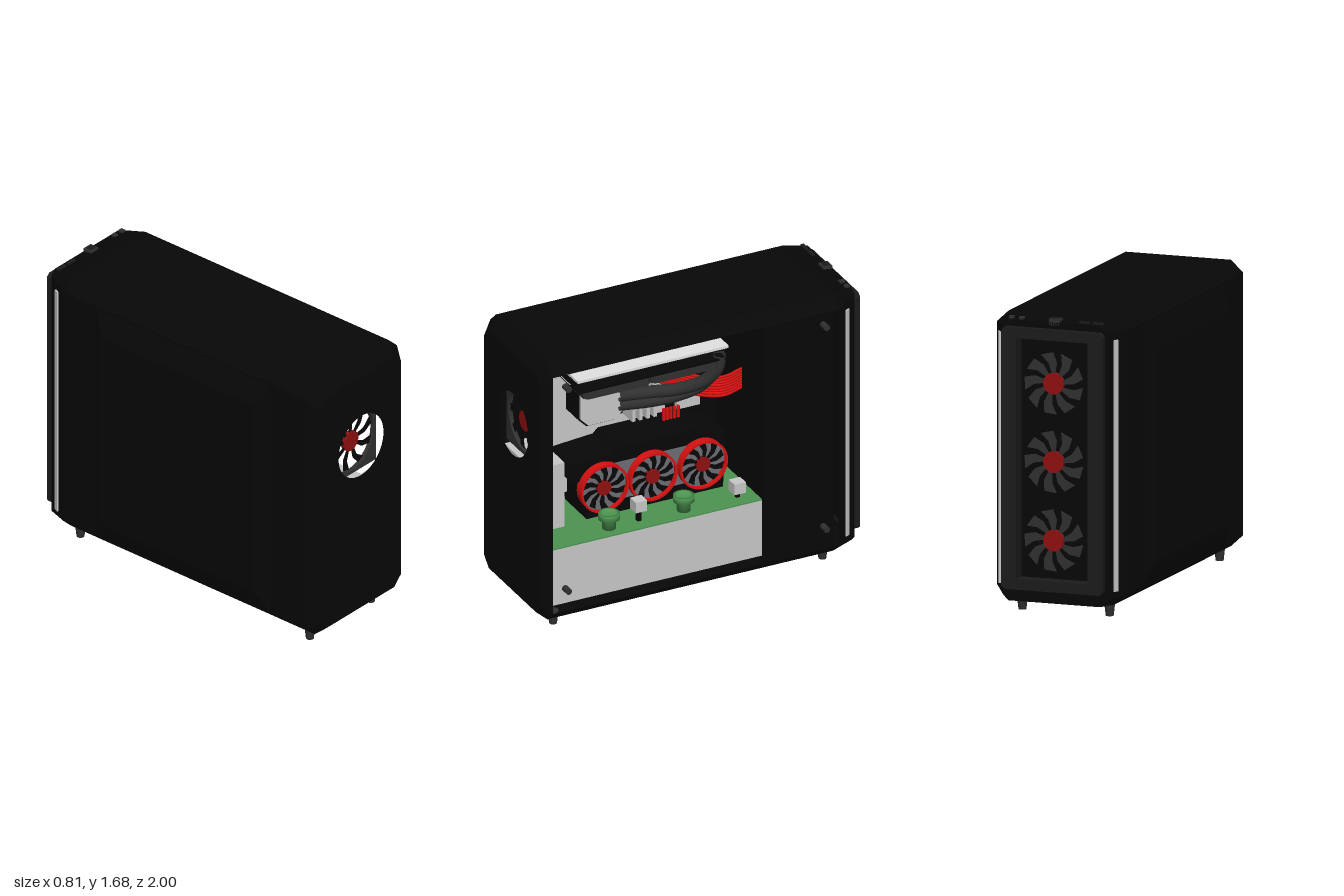
import * as THREE from 'three';

const mat = (name, color, extra = {}) => new THREE.MeshStandardMaterial({ name, color, ...extra });
const D = { side: THREE.DoubleSide };
const black = mat('black', 0x070707, D);
const darkGrey = mat('darkGrey', 0x1b1b1b, D);
const charcoal = mat('charcoal', 0x303030, D);
const grey = mat('grey', 0x6c6c74);
const silver = mat('silver', 0xc8c8c8);
const white = mat('white', 0xe2e2e2);
const red = mat('red', 0xd81010, D);
const darkRed = mat('darkRed', 0x901010);
const green = mat('green', 0x4c9450);

export function createModel() {
  const root = new THREE.Group();
  const add = (name, geo, m, parent = root) => {
    const mesh = new THREE.Mesh(geo, m);
    mesh.name = name;
    parent.add(mesh);
    return mesh;
  };
  // box given by its limits on each axis
  const box = (name, m, x0, x1, y0, y1, z0, z1) => {
    const b = add(name, new THREE.BoxGeometry(x1 - x0, y1 - y0, z1 - z0), m);
    b.position.set((x0 + x1) / 2, (y0 + y1) / 2, (z0 + z1) / 2);
  };
  const shapeOf = (pts) => new THREE.Shape(pts.map(([x, y]) => new THREE.Vector2(x, y)));
  const rect = (x0, x1, y0, y1) => [[x0, y0], [x1, y0], [x1, y1], [x0, y1]];
  const octagon = (x0, x1, y0, y1, c, d = c) => [
    [x0 + c, y0], [x1 - c, y0], [x1, y0 + d], [x1, y1 - d],
    [x1 - c, y1], [x0 + c, y1], [x0, y1 - d], [x0, y0 + d]];
  // (z, y) outline extruded along x
  const sidePlate = (name, m, pts, x0, x1) => {
    const g = new THREE.ExtrudeGeometry(shapeOf(pts.map(([z, y]) => [-z, y])), { depth: x1 - x0, bevelEnabled: false });
    add(name, g.rotateY(Math.PI / 2).translate(x0, 0, 0), m);
  };
  // plate in the xy plane with one round or polygonal hole
  const holedPlate = (pts, hole, depth) => {
    const s = shapeOf(pts);
    s.holes.push(hole);
    return depth ? new THREE.ExtrudeGeometry(s, { depth, bevelEnabled: false, curveSegments: 24 }) : new THREE.ShapeGeometry(s, 32);
  };
  const circle = (x, y, r) => new THREE.Path().absarc(x, y, r, 0, Math.PI * 2, true);
  // bladed rotor in the xy plane, facing +z; w is the blade width as an angle
  const fan = (name, r, hubR, n, w, bladeMat, hubMat) => {
    const g = new THREE.Group();
    g.name = name;
    const p = (rad, a) => [rad * Math.cos(a), rad * Math.sin(a)];
    const blade = shapeOf([p(hubR * 0.9, 0), p(r * 0.65, 0.02), p(r * 0.97, 0.2), p(r * 0.97, 0.2 + w), p(r * 0.65, 0.02 + w), p(hubR * 0.9, 0.35)]);
    const bg = new THREE.ExtrudeGeometry(blade, { depth: 0.005, bevelEnabled: false });
    for (let i = 0; i < n; i++) add('blade', bg, bladeMat, g).rotation.z = (i / n) * Math.PI * 2;
    add('hub', new THREE.CylinderGeometry(hubR, hubR, 0.024, 24).rotateX(Math.PI / 2), hubMat, g);
    root.add(g);
    return g;
  };

  // Case shell: octagonal sections, window side left open
  const body = octagon(-0.36, 0.403, 0.07, 1.675, 0.07, 0.065);
  const rear = octagon(-0.32, 0.37, 0.12, 1.6, 0.06);
  const nose = octagon(-0.29, 0.31, 0.08, 1.655, 0.03);
  const sections = [[1, rear], [0.94, body], [-0.82, body], [-0.965, nose]];
  const pos = [];
  for (let s = 0; s < sections.length - 1; s++) {
    const [za, A] = sections[s], [zb, B] = sections[s + 1];
    for (let i = 0; i < 8; i++) {
      if (s === 1 && i === 2) continue;
      const j = (i + 1) % 8;
      const a = [...A[i], za], b = [...A[j], za], c = [...B[j], zb], d = [...B[i], zb];
      pos.push(...a, ...d, ...b, ...b, ...d, ...c);
    }
  }
  const shell = new THREE.BufferGeometry();
  shell.setAttribute('position', new THREE.Float32BufferAttribute(pos, 3));
  shell.computeVertexNormals();
  add('caseShell', shell, black);
  add('fanWall', holedPlate(rear, circle(0.03, 1.16, 0.19), 0), black).position.z = 1;
  const recess = shapeOf(rect(-0.2, 0.22, 0.21, 1.56));
  add('noseWall', holedPlate(nose, recess, 0), black).position.z = -0.965;

  // Raised solid side panel
  const bulge = new THREE.BoxGeometry(0.05, 1, 1).toNonIndexed();
  const bp = bulge.attributes.position;
  for (let i = 0; i < bp.count; i++) {
    const outer = bp.getX(i) < 0, up = bp.getY(i) > 0, fwd = bp.getZ(i) > 0;
    bp.setXYZ(i, outer ? -0.41 : -0.358,
      outer ? (up ? 1.46 : 0.26) : (up ? 1.6 : 0.135),
      outer ? (fwd ? 0.6 : -0.5) : (fwd ? 0.68 : -0.59));
  }
  bulge.computeVertexNormals();
  add('sidePanel', bulge, black);

  // Feet and window screws
  for (const x of [-0.25, 0.265]) for (const z of [0.87, -0.79])
    add('foot', new THREE.CylinderGeometry(0.031, 0.022, 0.08, 16), charcoal).position.set(x, 0.04, z);
  for (const y of [0.25, 1.51]) for (const z of [0.84, -0.75])
    add('windowScrew', new THREE.CylinderGeometry(0.018, 0.018, 0.052, 16).rotateZ(Math.PI / 2), charcoal).position.set(0.376, y, z);

  // Recessed intake grille with three fans
  add('grilleFrame', holedPlate(octagon(-0.29, 0.31, 0.15, 1.62, 0.02), recess, 0.08), darkGrey).position.z = -1;
  box('grilleBack', black, -0.21, 0.23, 0.2, 1.57, -0.92, -0.91);
  for (const y of [0.43, 0.87, 1.31]) {
    const f = fan('intakeFan', 0.18, 0.06, 9, 0.42, charcoal, darkRed);
    f.position.set(0.02, y, -0.94);
    f.rotation.y = Math.PI;
  }
  // Light strips on the slanted edges
  for (const [x, a] of [[0.356, 0.57], [-0.325, -0.45]]) {
    const strip = add('lightStrip', new THREE.BoxGeometry(0.016, 1.41, 0.03), silver);
    strip.position.set(x, 0.865, -0.895);
    strip.rotation.y = a;
  }
  // Top buttons and ports
  box('powerButton', charcoal, -0.02, 0.04, 1.64, 1.675, -0.965, -0.91);
  box('powerButtonCap', darkGrey, -0.01, 0.03, 1.675, 1.679, -0.955, -0.92);
  for (const x of [0.21, 0.27]) box('smallButton', charcoal, x - 0.013, x + 0.013, 1.64, 1.671, -0.95, -0.922);
  for (const x of [-0.24, -0.16]) box('port', darkGrey, x - 0.03, x + 0.03, 1.64, 1.668, -0.945, -0.925);

  // Exhaust fan
  add('exhaustFrame', holedPlate(rect(-0.18, 0.24, 0.95, 1.37), circle(0.03, 1.16, 0.19), 0.025), charcoal).position.z = 0.905;
  fan('exhaustFan', 0.185, 0.06, 9, 0.26, black, darkRed).position.set(0.03, 1.16, 0.918);

  // Interior tray, inner side wall, bulkhead, power supply cover
  box('tray', black, -0.26, -0.24, 0.1, 1.64, -0.38, 0.94);
  box('innerWall', black, 0.34, 0.35, 0.09, 1.655, -0.82, -0.38);
  box('bulkhead', black, -0.24, 0.34, 0.12, 1.62, -0.4, -0.385);
  box('supplyCover', silver, -0.24, 0.34, 0.15, 0.495, -0.38, 0.925);
  box('supplyCoverTop', green, -0.24, 0.34, 0.495, 0.502, -0.38, 0.925);
  box('slotBlock', silver, -0.22, 0.13, 0.502, 0.9, 0.73, 0.925);
  box('slotPlate', silver, 0.13, 0.32, 0.502, 0.9, 0.915, 0.925);
  const fitting = new THREE.LatheGeometry([[0, 0], [0.038, 0], [0.038, 0.05], [0.06, 0.06], [0.06, 0.095], [0.045, 0.095], [0.045, 0.08], [0, 0.08]].map(([r, y]) => new THREE.Vector2(r, y)), 24);
  for (const z of [0.52, 0.06]) add('fitting', fitting, green).position.set(0.255, 0.502, z);
  for (const [x, y, z] of [[0.25, 0.602, 0.335], [0.25, 0.567, -0.273]]) {
    box('smallBlock', silver, x - 0.035, x + 0.035, y - 0.033, y + 0.033, z - 0.035, z + 0.035);
    box('smallBlockStem', black, x - 0.012, x + 0.012, 0.5, y - 0.033, z - 0.012, z + 0.012);
  }

  // Mainboard with memory and connectors
  box('mainboard', silver, -0.24, -0.21, 0.65, 1.35, -0.06, 0.77);
  box('boardEdge', black, -0.24, -0.21, 0.65, 1.35, -0.26, -0.06);
  box('boardConnector', silver, -0.21, -0.18, 0.875, 1.0, -0.26, -0.12);
  box('boardConnector', silver, -0.21, -0.18, 1.21, 1.285, -0.25, -0.06);
  box('boardHeader', black, -0.21, -0.18, 1.29, 1.34, -0.06, 0.02);
  box('portShield', silver, -0.24, -0.03, 0.92, 1.34, 0.745, 0.78);
  for (let i = 0; i < 6; i++) box('portShieldFin', black, -0.05, -0.03, 0.98 + i * 0.055, 1.01 + i * 0.055, 0.775, 0.825);
  box('portShieldEdge', black, -0.05, -0.028, 0.94, 1.3, 0.765, 0.785);
  for (let i = 0; i < 3; i++) box('powerSocket', black, -0.21, -0.17, 1.14 + i * 0.07, 1.2 + i * 0.07, 0.69, 0.735);
  for (let i = 0; i < 2; i++) box('slotLine', black, -0.21, -0.2, 0.7 + i * 0.04, 0.715 + i * 0.04, 0.62, 0.73);
  box('memorySlots', black, -0.21, -0.19, 0.93, 1.33, 0.05, 0.225);
  for (let i = 0; i < 4; i++) box('memoryStick', silver, -0.19, -0.07, 0.93, 1.33, 0.06 + i * 0.044, 0.08 + i * 0.044);

  // Cooler block with hoses
  sidePlate('coolerBody', black, octagon(0.28, 0.55, 0.98, 1.25, 0.05), -0.21, -0.06);
  sidePlate('coolerFace', silver, octagon(0.287, 0.543, 0.993, 1.237, 0.045), -0.06, -0.04);
  const hose = (dy, dz, dx) => new THREE.CatmullRomCurve3([
    [-0.02, 1.147 + dy, 0.32], [0.02, 1.147 + dy, 0.15], [0.08 + dx / 2, 1.16 + dy, 0.0],
    [0.16 + dx, 1.22 + dy, -0.12 + dz], [0.21 + dx, 1.31 + dy / 2, -0.18 + dz], [0.22 + dx, 1.4, -0.19 + dz],
  ].map((p) => new THREE.Vector3(...p)));
  for (const c of [hose(0, 0.01, 0), hose(-0.055, -0.01, -0.06)])
    add('hose', new THREE.TubeGeometry(c, 40, 0.036, 14), charcoal);

  // Radiator under an overhanging plate, two fans below
  box('radiatorPlate', white, -0.17, 0.27, 1.455, 1.47, -0.21, 0.72);
  box('radiator', white, -0.16, 0.15, 1.39, 1.455, -0.2, 0.71);
  for (const z of [-0.215, 0.655]) box('radiatorTank', black, -0.16, 0.2, 1.405, 1.44, z, z + 0.06);
  box('radiatorCore', black, -0.16, 0.25, 1.375, 1.39, -0.2, 0.7);
  for (const z of [0.46, 0.045]) {
    const plate = add('radiatorFanFrame', holedPlate(octagon(-0.205, 0.205, -0.205, 0.205, 0.02), circle(0, 0, 0.185), 0.045), charcoal);
    plate.rotation.x = Math.PI / 2;
    plate.position.set(0.045, 1.375, z);
    const f = fan('radiatorFan', 0.18, 0.06, 9, 0.35, darkGrey, black);
    f.rotation.x = Math.PI / 2;
    f.position.set(0.045, 1.35, z);
  }

  // Graphics card with three ringed fans
  sidePlate('cardBody', black, [[0.71, 0.79], [0.68, 0.87], [0.43, 0.89], [0.4, 0.92], [-0.07, 0.92],
    [-0.1, 0.88], [-0.25, 0.86], [-0.26, 0.78], [-0.24, 0.52], [0.6, 0.52], [0.64, 0.76]], -0.12, 0.14);
  sidePlate('cardFacePlate', grey, rect(-0.1, 0.51, 0.6, 0.83), 0.14, 0.145);
  box('cardBracket', silver, -0.12, 0.02, 0.65, 0.77, 0.66, 0.73);
  for (const z of [0.51, 0.21, -0.1]) {
    add('cardFanRing', new THREE.CylinderGeometry(0.146, 0.146, 0.06, 40, 1, true).rotateZ(Math.PI / 2), red).position.set(0.16, 0.71, z);
    add('cardFanRim', new THREE.RingGeometry(0.134, 0.147, 40).rotateY(Math.PI / 2), red).position.set(0.19, 0.71, z);
    add('cardFanBack', new THREE.CylinderGeometry(0.143, 0.143, 0.01, 40).rotateZ(Math.PI / 2), grey).position.set(0.148, 0.71, z);
    const f = fan('cardFan', 0.134, 0.043, 10, 0.32, black, darkRed);
    f.rotation.y = Math.PI / 2;
    f.position.set(0.17, 0.71, z);
  }

  // Red cable bundles
  for (let i = 0; i < 8; i++) {
    const c = new THREE.CatmullRomCurve3([[-0.19, -0.01], [-0.08, -0.04], [0.06, -0.14], [0.12, -0.25], [0.08, -0.385]]
      .map(([x, z]) => new THREE.Vector3(x, 1.077 + i * 0.0165, z)));
    add('cable', new THREE.TubeGeometry(c, 20, 0.0085, 8), red);
  }
  for (let i = 0; i < 5; i++)
    add('cardCable', new THREE.CylinderGeometry(0.01, 0.01, 0.09, 8), red).position.set(-0.03, 0.945, -0.05 + i * 0.022);
  return root;
}
